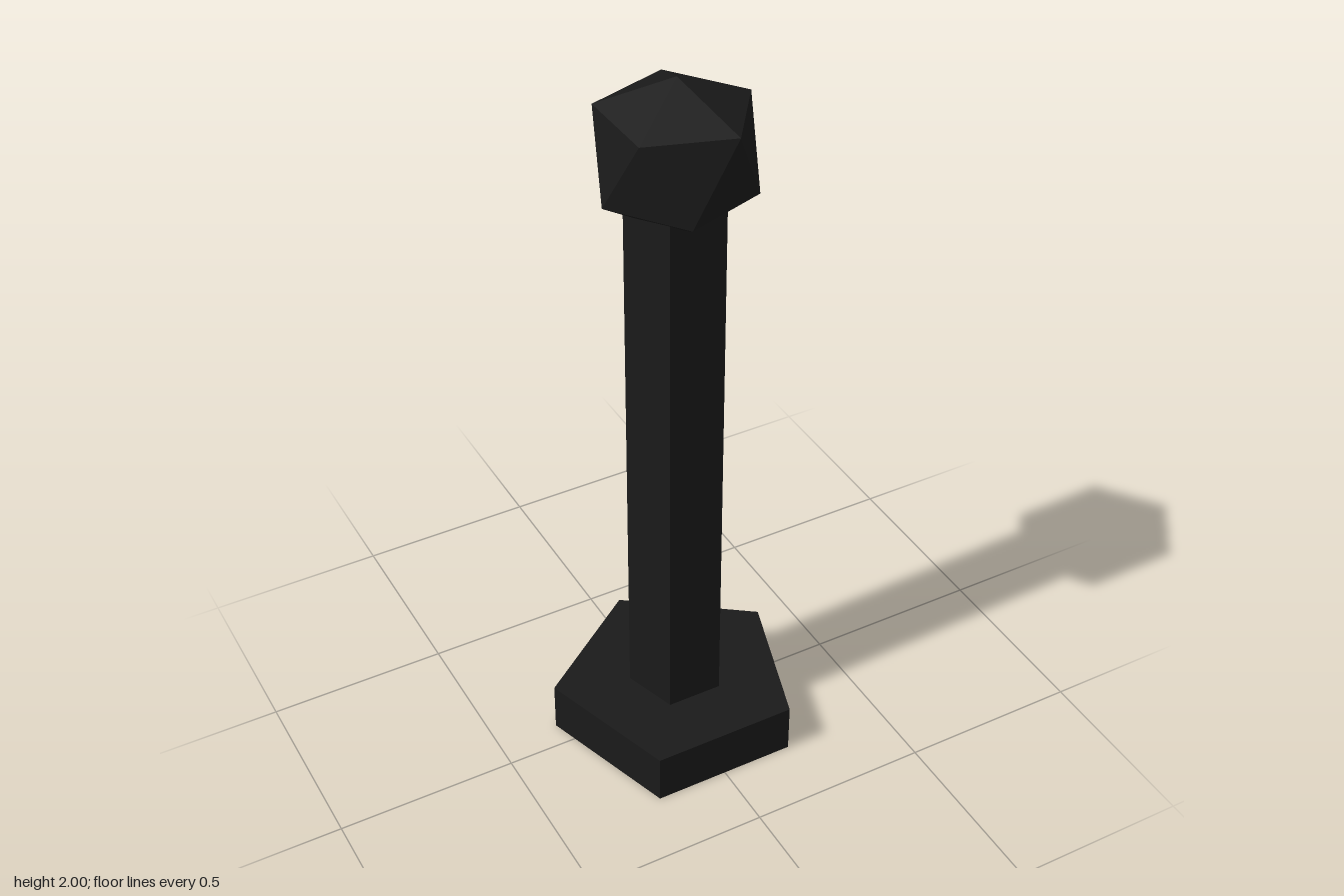
import * as THREE from 'three';

const CENTRE_Z = 0.034;

// Five-sided prism with one corner pointing to the back
function pentagonPrism(name, radius, y0, y1, material) {
  const geometry = new THREE.CylinderGeometry(radius, radius, y1 - y0, 5);
  geometry.rotateY(Math.PI);
  const mesh = new THREE.Mesh(geometry, material);
  mesh.name = name;
  mesh.position.set(0, (y0 + y1) / 2, CENTRE_Z);
  return mesh;
}

// Twenty-faced knob: two staggered rings of five corners and two poles
function knobGeometry(radius, topY, upperY, lowerY, bottomY) {
  const ring = (y, turn) => Array.from({ length: 5 }, (_, i) => {
    const a = (i + turn) * Math.PI * 2 / 5;
    return [radius * Math.cos(a), y, radius * Math.sin(a)];
  });
  const upper = ring(upperY, 0);
  const lower = ring(lowerY, 0.5);
  const top = [0, topY, 0];
  const bottom = [0, bottomY, 0];
  const points = [];
  for (let i = 0; i < 5; i++) {
    const j = (i + 1) % 5;
    points.push(top, upper[j], upper[i]);
    points.push(upper[i], upper[j], lower[i]);
    points.push(lower[i], upper[j], lower[j]);
    points.push(bottom, lower[i], lower[j]);
  }
  const geometry = new THREE.BufferGeometry();
  geometry.setAttribute('position', new THREE.Float32BufferAttribute(points.flat(), 3));
  geometry.computeVertexNormals();
  return geometry;
}

export function createModel() {
  const group = new THREE.Group();
  group.name = 'post';
  const black = new THREE.MeshStandardMaterial({ color: 0x1a1a1a, flatShading: true });

  // Foot and shaft
  group.add(pentagonPrism('base', 0.344, 0, 0.145, black));
  group.add(pentagonPrism('shaft', 0.131, 0.145, 1.72, black));

  // Faceted head
  const knob = new THREE.Mesh(knobGeometry(0.198, 2, 1.916, 1.707, 1.59), black);
  knob.name = 'knob';
  knob.position.z = 0.031;
  group.add(knob);

  return group;
}
